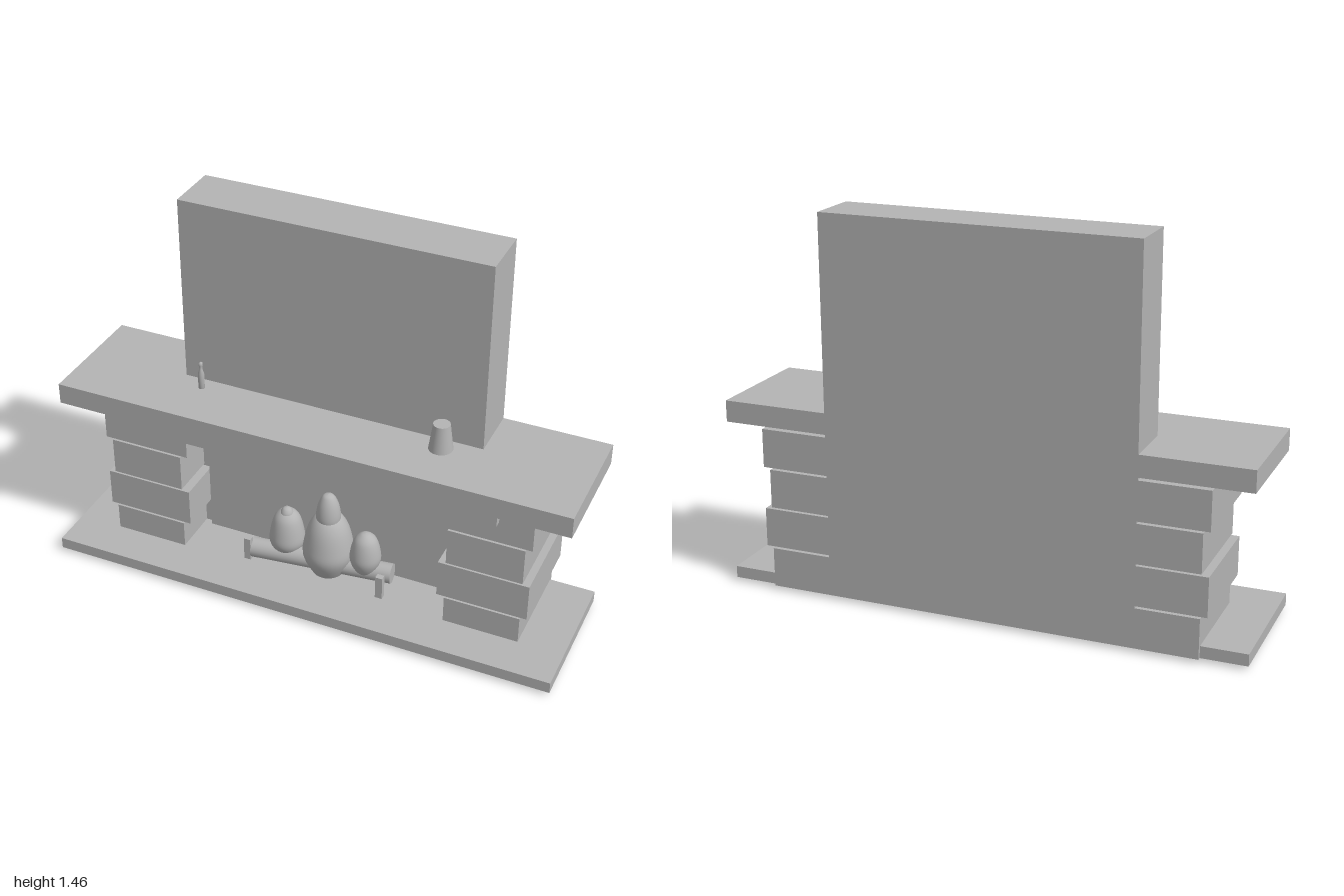
import * as THREE from 'three';

export function createModel() {
  const model = new THREE.Group();
  model.name = 'fireplace';
  const stone = new THREE.MeshStandardMaterial({ color: 0xb4b4b4 });
  stone.name = 'plain grey';

  const add = (name, geometry, x = 0, y = 0, z = 0) => {
    const mesh = new THREE.Mesh(geometry, stone);
    mesh.name = name;
    mesh.position.set(x, y, z);
    model.add(mesh);
    return mesh;
  };
  // box given by its extents
  const block = (name, x0, x1, y0, y1, z0, z1) =>
    add(name, new THREE.BoxGeometry(x1 - x0, y1 - y0, z1 - z0),
      (x0 + x1) / 2, (y0 + y1) / 2, (z0 + z1) / 2);
  // smooth turned shape through [radius, height] points
  const turned = (name, points, x, z) => {
    const curve = new THREE.SplineCurve(points.map(([r, y]) => new THREE.Vector2(r, y)));
    const profile = curve.getPoints(32).map((p) => new THREE.Vector2(Math.max(p.x, 0), p.y));
    return add(name, new THREE.LatheGeometry(profile, 32), x, 0, z);
  };

  // main masonry
  block('hearth', -1, 1, 0.015, 0.06, -0.265, 0.28);
  block('chimney', -0.595, 0.59, 0.015, 1.46, -0.28, -0.065);
  block('fireboxPanel', -0.505, 0.5, 0.05, 0.64, -0.07, -0.045);
  block('mantelShelf', -1, 1, 0.645, 0.727, -0.28, 0.19);
  block('lintel', -0.725, 0.722, 0.575, 0.65, -0.05, 0.148);

  // stacked pillar stones, alternating narrow and wide
  const rows = [[0.015, 0.167], [0.175, 0.324], [0.331, 0.479], [0.487, 0.635]];
  rows.forEach(([y0, y1], i) => {
    const [inner, outer] = i % 2 ? [0.508, 0.854] : [0.538, 0.828];
    block('leftPillarStone', inner - 0.003, outer - 0.003, y0, y1, -0.28, 0.12);
    block('rightPillarStone', -outer, -inner, y0, y1, -0.28, 0.12);
  });

  // log lying slightly askew between two posts
  const start = new THREE.Vector3(-0.27, 0.098, 0.06);
  const end = new THREE.Vector3(0.285, 0.105, 0.0);
  const dir = end.clone().sub(start);
  const log = add('log', new THREE.CylinderGeometry(0.039, 0.039, dir.length(), 24));
  log.position.copy(start).add(end).multiplyScalar(0.5);
  log.quaternion.setFromUnitVectors(new THREE.Vector3(0, 1, 0), dir.normalize());
  block('rightLogPost', -0.292, -0.265, 0.06, 0.155, 0.072, 0.095);
  block('leftLogPost', 0.257, 0.285, 0.06, 0.155, 0.08, 0.103);

  // rounded flames
  turned('centreFlame', [[0, 0], [0.033, 0.02], [0.07, 0.075], [0.097, 0.14], [0.093, 0.2],
    [0.075, 0.27], [0.045, 0.315], [0, 0.33]], 0.03, 0.02);
  turned('centreFlameTip', [[0, 0.26], [0.035, 0.275], [0.047, 0.315], [0.04, 0.37],
    [0.022, 0.41], [0, 0.42]], 0.032, 0.025);
  turned('rightFlame', [[0, 0.07], [0.04, 0.1], [0.067, 0.145], [0.065, 0.195],
    [0.05, 0.255], [0.025, 0.285], [0, 0.292]], -0.142, 0.02);
  turned('rightFlameTip', [[0, 0.25], [0.02, 0.258], [0.025, 0.28], [0.015, 0.3],
    [0, 0.306]], -0.14, 0.025);
  turned('leftFlame', [[0, 0.07], [0.035, 0.1], [0.058, 0.15], [0.057, 0.195],
    [0.043, 0.245], [0.02, 0.27], [0, 0.276]], 0.18, 0.015);

  // ornaments on the shelf
  add('vase', new THREE.CylinderGeometry(0.031, 0.045, 0.105, 32), 0.45, 0.779, -0.01);
  const bottle = [[0, 0.725], [0.012, 0.725], [0.012, 0.79], [0.006, 0.808],
    [0.006, 0.822], [0.008, 0.824], [0.008, 0.836], [0, 0.84]];
  add('bottle', new THREE.LatheGeometry(bottle.map(([r, y]) => new THREE.Vector2(r, y)), 20),
    -0.502, 0, -0.01);

  return model;
}
